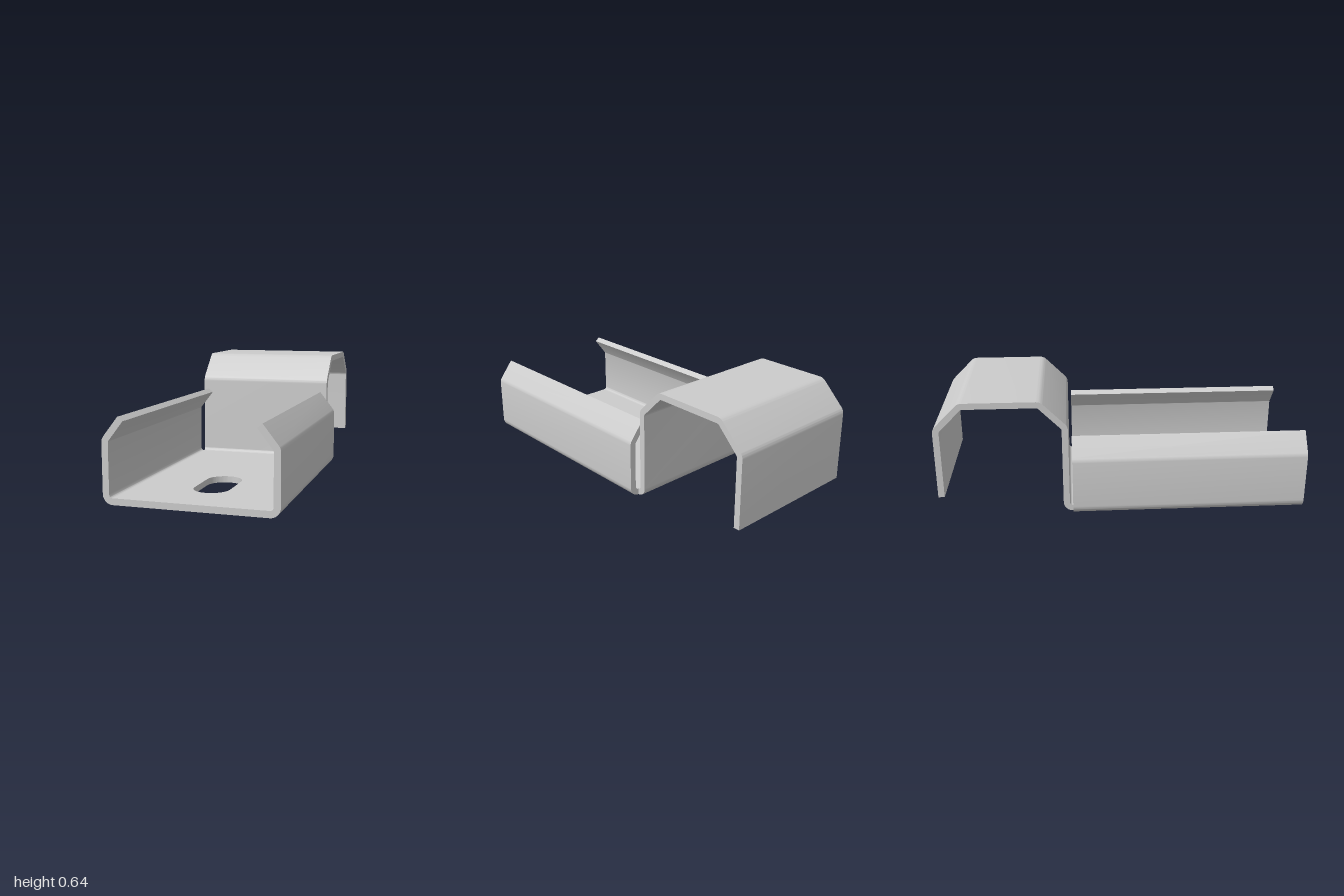
import * as THREE from 'three';
import { toCreasedNormals } from 'three/addons/utils/BufferGeometryUtils.js';

const T = 0.034;            // sheet thickness
const R = 0.035;            // bend radius at the middle of the sheet
const HALF = 0.392;         // half width of the flat base and of the hook
const BACK = -0.272, FRONT = 1;
const material = new THREE.MeshStandardMaterial({ color: 0xcccccc });

// Closed outline of a bent sheet that follows a centre line with rounded corners
function sheetProfile(corners) {
  const pts = corners.map(([x, y]) => new THREE.Vector2(x, y));
  const a = [], b = [];
  const add = (p, dir) => {
    const n = new THREE.Vector2(-dir.y, dir.x).multiplyScalar(T / 2);
    a.push(p.clone().add(n));
    b.push(p.clone().sub(n));
  };
  const direction = i => pts[i + 1].clone().sub(pts[i]).normalize();
  const last = pts.length - 1;
  add(pts[0], direction(0));
  for (let i = 1; i < last; i++) {
    const d0 = direction(i - 1), d1 = direction(i);
    const turn = Math.atan2(d0.cross(d1), d0.dot(d1));
    const side = Math.sign(turn);
    const start = pts[i].clone().addScaledVector(d0, -R * Math.tan(Math.abs(turn) / 2));
    const centre = start.clone().add(new THREE.Vector2(-d0.y, d0.x).multiplyScalar(side * R));
    const steps = Math.ceil(Math.abs(turn) / 0.13);
    for (let k = 0; k <= steps; k++) {
      const angle = turn * k / steps;
      add(start.clone().rotateAround(centre, angle), d0.clone().rotateAround(new THREE.Vector2(), angle));
    }
  }
  add(pts[last], direction(last - 1));
  return new THREE.Shape([...a, ...b.reverse()]);
}

function extrude(shape, depth) {
  const geometry = new THREE.ExtrudeGeometry(shape, { depth, bevelEnabled: false, curveSegments: 20 });
  return toCreasedNormals(geometry, 0.4);
}

function part(name, geometry) {
  const mesh = new THREE.Mesh(geometry, material);
  mesh.name = name;
  return mesh;
}

export function createModel() {
  const group = new THREE.Group();
  group.name = 'clipBracket';

  // Flat base with a rounded slot
  const base = new THREE.Shape([
    new THREE.Vector2(-HALF, BACK), new THREE.Vector2(HALF, BACK),
    new THREE.Vector2(HALF, FRONT), new THREE.Vector2(-HALF, FRONT),
  ]);
  const slot = new THREE.Path();
  slot.absarc(0, 0.675, 0.095, 0, Math.PI);
  slot.absarc(0, 0.485, 0.095, Math.PI, Math.PI * 2);
  slot.closePath();
  base.holes.push(slot);
  group.add(part('base', extrude(base, T).rotateX(Math.PI / 2).translate(0, T, 0)));

  // Side walls with inward leaning lips
  for (const [name, s] of [['leftWall', 1], ['rightWall', -1]]) {
    const wall = sheetProfile([
      [s * HALF, T / 2], [s * 0.427, T / 2], [s * 0.427, 0.316], [s * 0.344, 0.422],
    ]);
    group.add(part(name, extrude(wall, FRONT - BACK).translate(0, 0, BACK)));
  }

  // Hook rising from the back edge; profile runs backwards from the base
  const hook = sheetProfile([
    [-BACK, T / 2], [0.307, T / 2], [0.307, 0.493], [0.44, 0.626],
    [0.85, 0.626], [0.983, 0.493], [0.983, 0.105],
  ]);
  group.add(part('hook', extrude(hook, HALF * 2).rotateY(Math.PI / 2).translate(-HALF, 0, 0)));

  return group;
}
